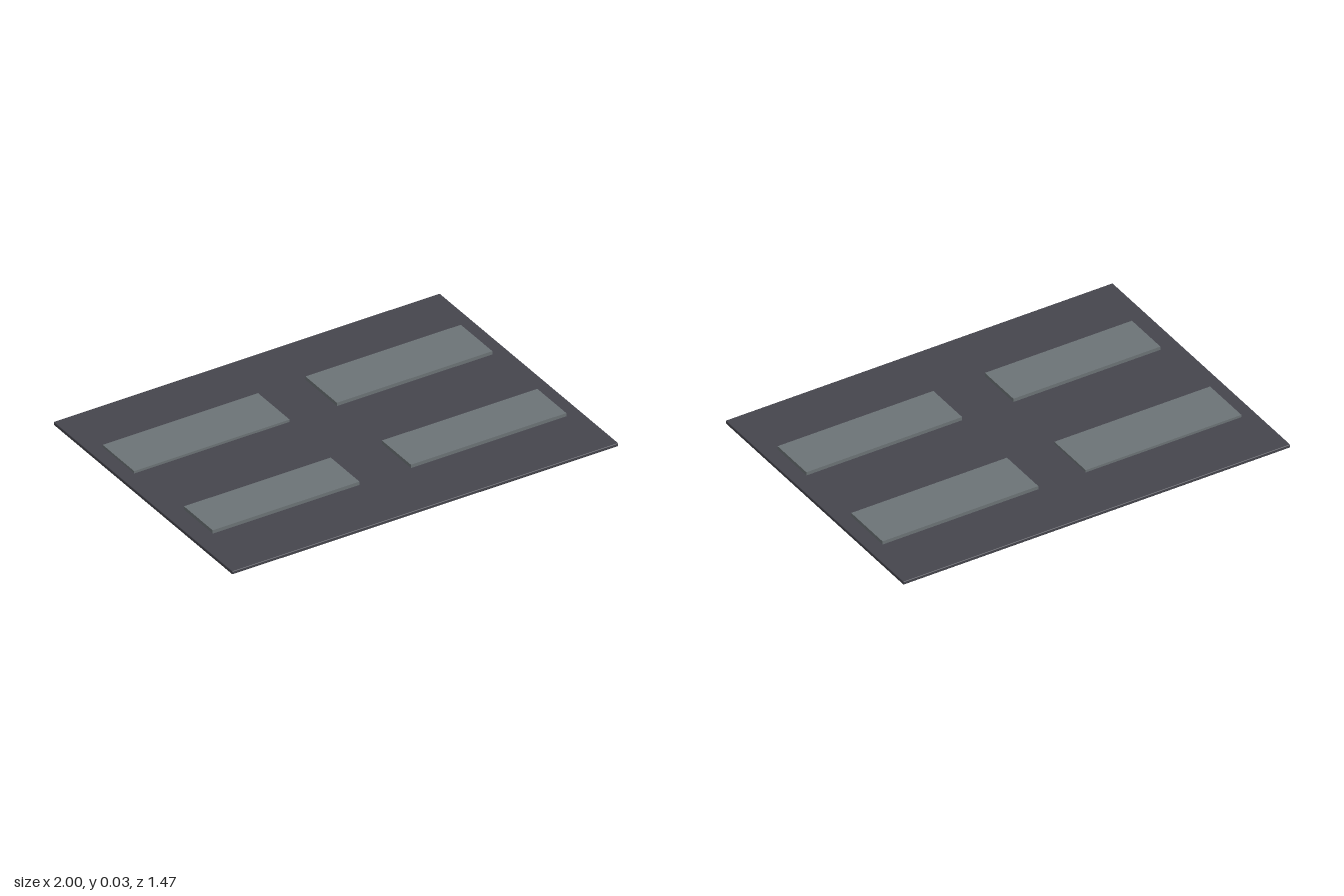
import * as THREE from 'three';
import { RoundedBoxGeometry } from 'three/addons/geometries/RoundedBoxGeometry.js';

export function createModel() {
  const model = new THREE.Group();
  model.name = 'panelBoard';

  const boardMaterial = new THREE.MeshStandardMaterial({ color: 0x45454d });
  boardMaterial.name = 'dark slate';
  const panelMaterial = new THREE.MeshStandardMaterial({ color: 0x6c7376 });
  panelMaterial.name = 'steel grey';

  // Thin base board with slightly eased edges
  const bottom = 0.056, top = 0.072;
  const board = new THREE.Mesh(
    new RoundedBoxGeometry(2, top - bottom, 1.47, 1, 0.003), boardMaterial);
  board.name = 'baseBoard';
  board.position.y = (bottom + top) / 2;
  model.add(board);

  // Raised rectangular panels: name, x range, z range, top height
  const panels = [
    ['backRightPanel', -0.93, -0.125, -0.442, -0.183, 0.084],
    ['backLeftPanel', 0.12, 0.925, -0.442, -0.183, 0.089],
    ['frontRightPanel', -0.905, -0.145, 0.187, 0.423, 0.089],
    ['frontLeftPanel', 0.12, 0.925, 0.187, 0.425, 0.089],
  ];
  for (const [name, x0, x1, z0, z1, height] of panels) {
    const panel = new THREE.Mesh(
      new THREE.BoxGeometry(x1 - x0, height - top + 0.002, z1 - z0), panelMaterial);
    panel.name = name;
    panel.position.set((x0 + x1) / 2, (height + top - 0.002) / 2, (z0 + z1) / 2);
    model.add(panel);
  }

  return model;
}
